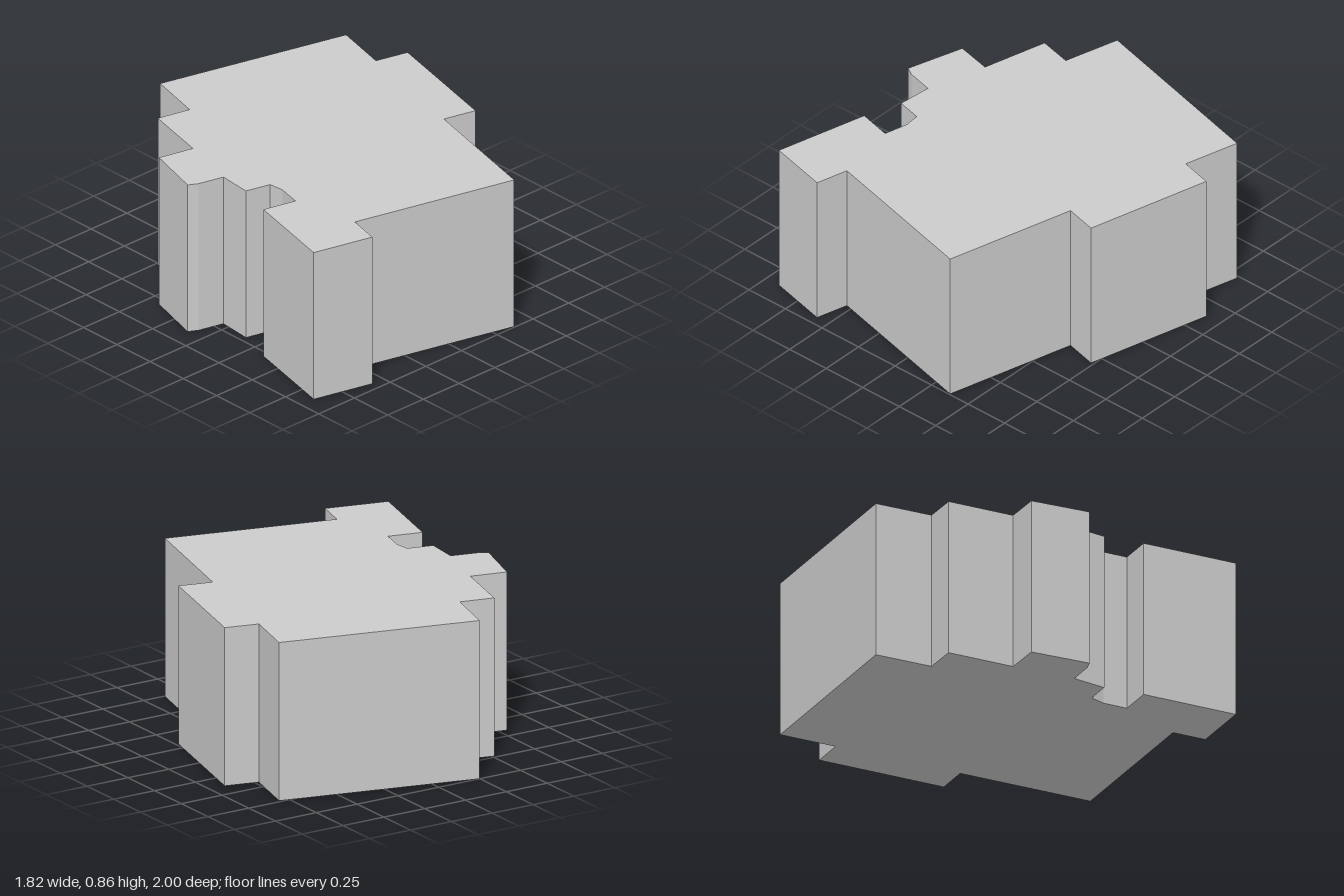
import * as THREE from 'three';

// Building outline seen from above as [x, z], starting at the back corner
const OUTLINE = [
  [-0.25, -1.0], [0.805, -0.735], [0.727, -0.427], [0.907, -0.382],
  [0.735, 0.315], [0.555, 0.27], [0.373, 0.995], [-0.533, 0.77],
  [-0.578, 0.95], [-0.912, 0.868], [-0.785, 0.352], [-0.602, 0.397],
  // small curved recess on the right side
  [-0.57, 0.265], [-0.578, 0.18],
  [-0.715, 0.146], [-0.698, -0.042],
  // bay with a clipped corner
  [-0.84, -0.077], [-0.89, -0.105], [-0.797, -0.42],
  [-0.602, -0.375], [-0.513, -0.735], [-0.33, -0.692],
];
const HEIGHT = 0.855;

export function createModel() {
  const model = new THREE.Group();
  model.name = 'building';

  // Flat-roofed block raised straight up from the outline
  const footprint = new THREE.Shape(OUTLINE.map(([x, z]) => new THREE.Vector2(x, -z)));
  const geometry = new THREE.ExtrudeGeometry(footprint, { depth: HEIGHT, bevelEnabled: false });
  geometry.rotateX(-Math.PI / 2);

  const material = new THREE.MeshStandardMaterial({ color: 0xcccccc, flatShading: true });
  const block = new THREE.Mesh(geometry, material);
  block.name = 'buildingBlock';
  model.add(block);
  return model;
}
